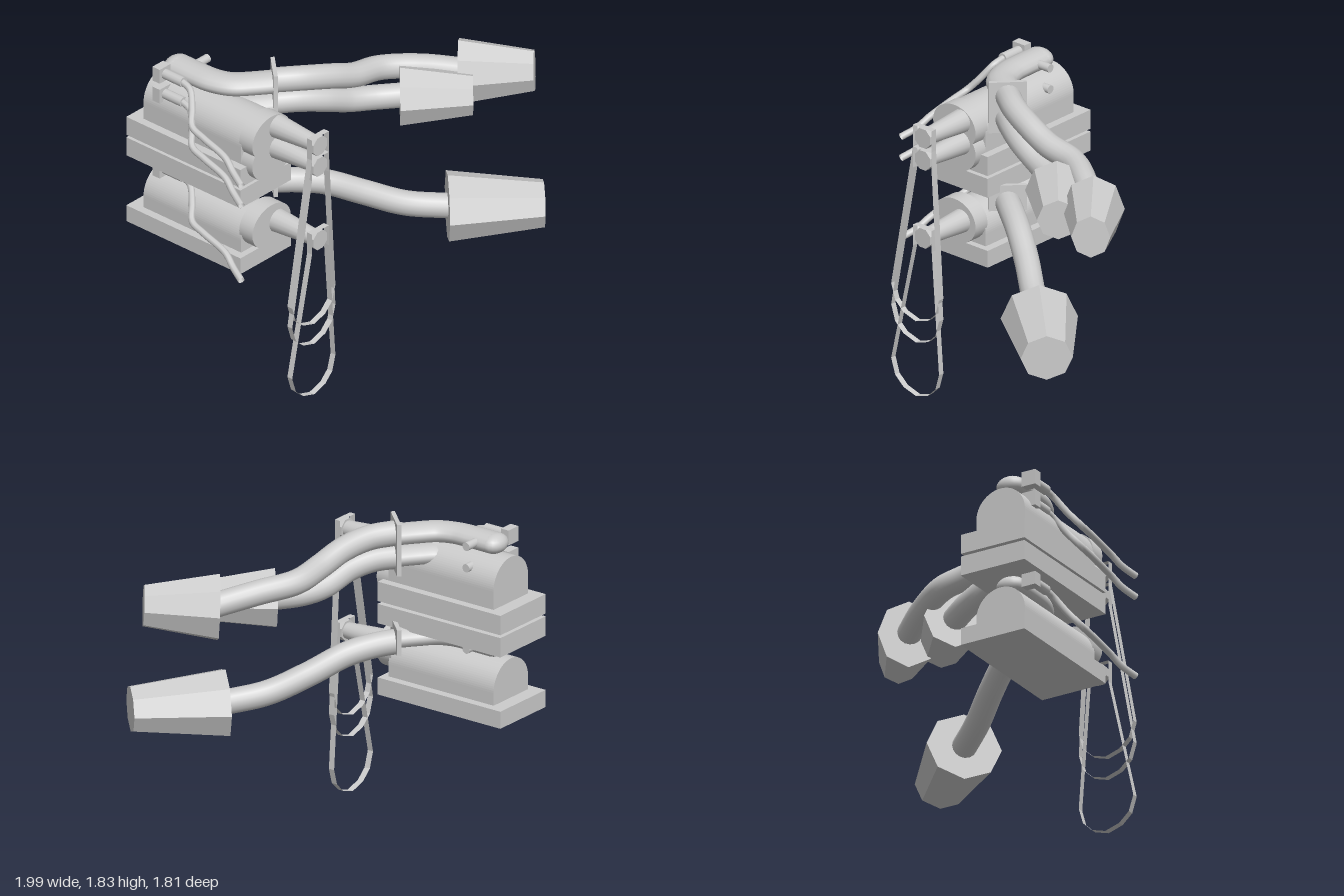
import * as THREE from 'three';

const smooth = new THREE.MeshStandardMaterial({ color: 0xcccccc, side: THREE.DoubleSide });
const flat = new THREE.MeshStandardMaterial({ color: 0xcccccc, flatShading: true, side: THREE.DoubleSide });
const CX = -0.645;

function add(parent, name, geometry, material, x = 0, y = 0, z = 0) {
  const mesh = new THREE.Mesh(geometry, material);
  mesh.name = name;
  mesh.position.set(x, y, z);
  parent.add(mesh);
  return mesh;
}

const curve = (pts) => new THREE.CatmullRomCurve3(pts.map((p) => new THREE.Vector3(...p)));

// Smooth hose along points
function tube(parent, name, pts, radius, segments = 40, sides = 16) {
  return add(parent, name, new THREE.TubeGeometry(curve(pts), segments, radius, sides), smooth);
}

// Housing with a half-round top
function archGeometry(r, height, depth) {
  const s = new THREE.Shape();
  s.moveTo(-r, 0);
  s.lineTo(r, 0);
  s.lineTo(r, height - r);
  s.absarc(0, height - r, r, 0, Math.PI, false);
  s.closePath();
  return new THREE.ExtrudeGeometry(s, { depth, bevelEnabled: false, curveSegments: 20 });
}

// Thin hanging ribbon looped over the nozzle tip
function strap(parent, top, bottom) {
  const nx = -0.595;
  const pts = [
    [nx - 0.07, top], [nx + 0.07, top], [nx + 0.07, top - 0.13],
    [-0.47, bottom + 0.18], [-0.497, bottom + 0.085], [-0.555, bottom + 0.028], [CX, bottom],
    [-0.737, bottom + 0.028], [-0.8, bottom + 0.085], [-0.83, bottom + 0.18],
    [nx - 0.07, top - 0.13], [nx - 0.07, top],
  ];
  const n = pts.length;
  const g = new THREE.PlaneGeometry(1, 1, n - 1, 1);
  const pos = g.attributes.position;
  pts.forEach(([x, y], i) => {
    pos.setXYZ(i, x, y, 0.325);
    pos.setXYZ(n + i, x, y, 0.288);
  });
  g.computeVertexNormals();
  add(parent, 'strap', g, flat);
}

// Eight-sided tapered mask at the end of a hose
function mask(parent, from, to, rWide, rNarrow, stretch) {
  const a = new THREE.Vector3(...from), b = new THREE.Vector3(...to);
  const g = new THREE.CylinderGeometry(rNarrow, rWide, a.distanceTo(b), 8).rotateX(Math.PI / 2);
  const m = add(parent, 'mask', g, flat);
  m.position.copy(a).lerp(b, 0.5);
  m.lookAt(b);
  m.scale.x = stretch;
}

const units = [
  {
    name: 'lowerUnit', base: 0.728, baseH: 0.103, bodyH: 0.236, hoseY: 1.115, flangeY: 1.12, nozzleY: 0.985,
    strapBottom: 0,
    hose: [[-0.42, 1.09, -0.195], [-0.32, 1.08, -0.12], [-0.18, 1.045, -0.02], [0, 0.95, 0.11],
      [0.18, 0.86, 0.26], [0.38, 0.82, 0.43]],
    mask: [[0.365, 0.82, 0.415], [0.757, 0.815, 0.79], 0.2, 0.135, 1.09],
  },
  {
    name: 'middleUnit', base: 1.158, baseH: 0.117, bodyH: 0.27, hoseY: 1.605, flangeY: 1.6, nozzleY: 1.465,
    strapBottom: 0.33,
    hose: [[-0.42, 1.605, -0.195], [-0.3, 1.6, -0.11], [-0.17, 1.57, -0.045], [0, 1.51, 0.0],
      [0.13, 1.49, 0.06], [0.28, 1.485, 0.17]],
    mask: [[0.26, 1.485, 0.15], [0.54, 1.485, 0.45], 0.178, 0.12, 1],
  },
  {
    name: 'upperUnit', base: 1.292, baseH: 0.117, bodyH: 0.27, hoseY: 1.735, flangeY: 1.755, nozzleY: 1.6,
    strapBottom: 0.46,
    hose: [[-0.42, 1.745, -0.195], [-0.28, 1.735, -0.1], [-0.12, 1.7, -0.04], [0.05, 1.645, -0.01],
      [0.25, 1.61, 0.005], [0.45, 1.58, 0.125], [0.66, 1.525, 0.29]],
    mask: [[0.635, 1.52, 0.26], [0.905, 1.535, 0.585], 0.2, 0.125, 0.88],
  },
];

function buildUnit(u) {
  const g = new THREE.Group();
  g.name = u.name;
  const top = u.base + u.baseH;

  // Base plate, arched housing and round front drum
  add(g, 'basePlate', new THREE.BoxGeometry(0.42, u.baseH, 0.865), flat, CX, u.base + u.baseH / 2, -0.478);
  add(g, 'housing', archGeometry(0.16, u.bodyH, 0.74), flat, CX, top, -0.825);
  const drum = add(g, 'frontDrum', new THREE.CylinderGeometry(0.16, 0.16, 0.1, 32).rotateX(Math.PI / 2),
    smooth, CX, top + 0.14, -0.05);
  drum.scale.y = 0.84;

  // Tapered nozzle with end disc, carrying the strap
  add(g, 'nozzle', new THREE.CylinderGeometry(0.047, 0.07, 0.3, 16).rotateX(Math.PI / 2),
    smooth, -0.595, u.nozzleY, 0.14);
  add(g, 'nozzleDisc', new THREE.CylinderGeometry(0.062, 0.062, 0.036, 8).rotateX(Math.PI / 2).rotateZ(Math.PI / 8),
    flat, -0.595, u.nozzleY, 0.305);
  strap(g, u.nozzleY + 0.066, u.strapBottom);

  // Flattened hose lying on the housing, with a rounded rear end
  const duct = tube(g, 'rearDuct', [[CX, 0, -0.71], [CX, 0, -0.56], [-0.637, 0, -0.45], [-0.595, 0, -0.345],
    [-0.51, 0, -0.265], [-0.415, 0, -0.19]], 0.09);
  duct.scale.y = 0.64;
  duct.position.y = u.hoseY;
  const cap = add(g, 'ductCap', new THREE.SphereGeometry(0.09, 20, 12), smooth, CX, u.hoseY, -0.71);
  cap.scale.set(1, 0.64, 0.8);

  // Square flange, breathing hose and mask
  const flange = add(g, 'flange', new THREE.BoxGeometry(0.215, 0.155, 0.024), flat, -0.415, u.flangeY, -0.19);
  flange.rotation.y = 0.82;
  tube(g, 'hose', u.hose, 0.072, 48);
  mask(g, ...u.mask);

  // Small side knob
  add(g, 'knob', new THREE.CylinderGeometry(0.025, 0.025, 0.1, 16).rotateZ(Math.PI / 2),
    smooth, -0.535, u.hoseY + 0.008, -0.63);

  // Side connector and its thin bent cable
  const y = u.hoseY + 0.01;
  add(g, 'connector', new THREE.BoxGeometry(0.09, 0.09, 0.055), flat, -0.777, y, -0.715);
  add(g, 'connectorPlug', new THREE.CylinderGeometry(0.03, 0.03, 0.14, 12).rotateX(Math.PI / 2),
    smooth, -0.775, y, -0.62);
  const end = u.hoseY - 0.325;
  tube(g, 'cable', [[-0.775, y, -0.56], [-0.785, y - 0.02, -0.49], [-0.835, y - 0.1, -0.43],
    [-0.89, y - 0.17, -0.38], [-0.905, y - 0.2, -0.28], [-0.92, y - 0.25, -0.1],
    [-0.945, y - 0.3, -0.02], [-0.98, end, 0.075]], 0.02, 32, 8);
  return g;
}

export function createModel() {
  const model = new THREE.Group();
  model.name = 'hoseRack';
  units.forEach((u) => model.add(buildUnit(u)));
  return model;
}
